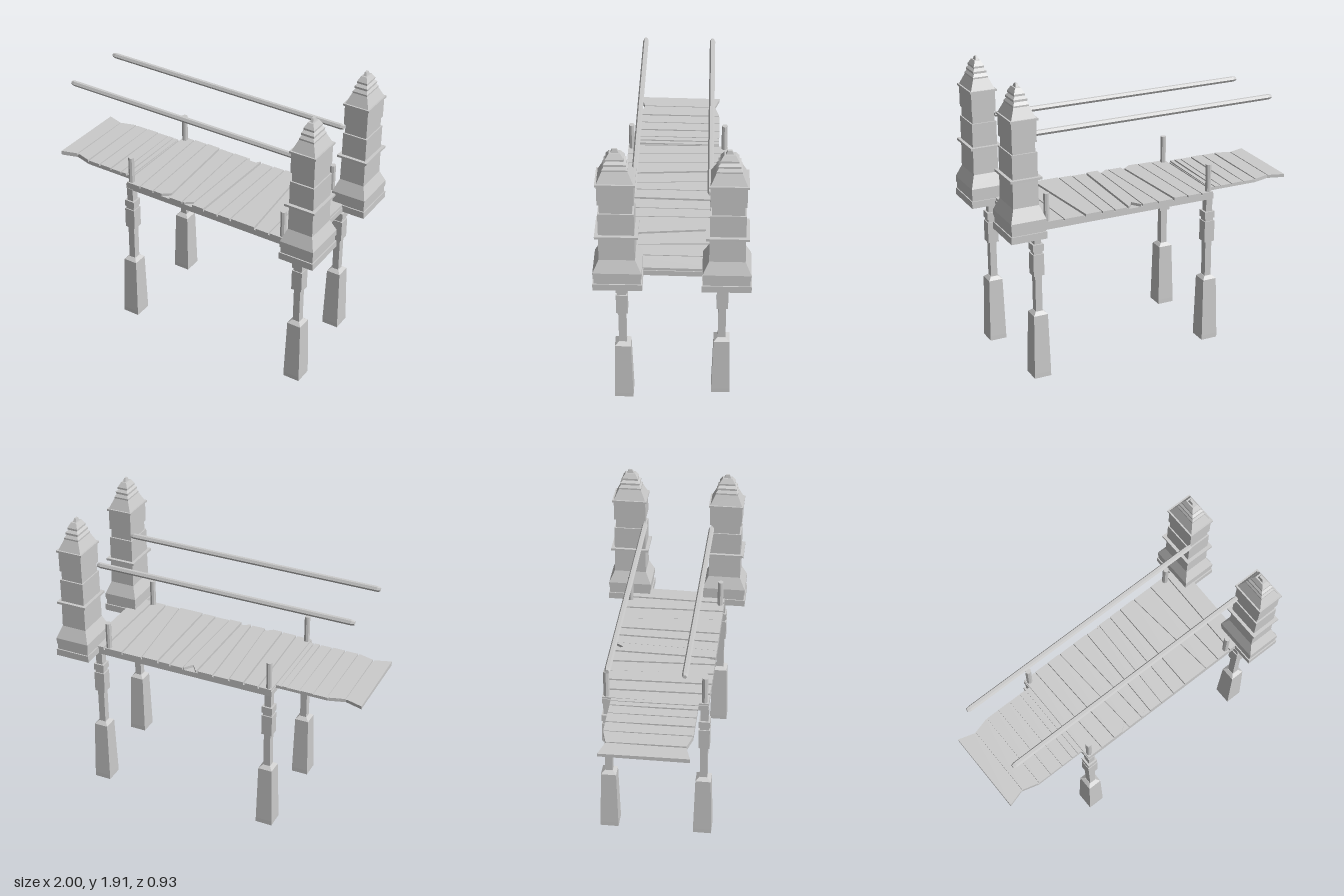
import * as THREE from 'three';

const material = new THREE.MeshStandardMaterial({ color: 0xcccccc, flatShading: true });

function add(parent, name, geometry, x = 0, y = 0, z = 0) {
  const mesh = new THREE.Mesh(geometry, material);
  mesh.name = name;
  mesh.position.set(x, y, z);
  parent.add(mesh);
  return mesh;
}

// Closed stack of rectangular sections: [y, half width in x, half width in z]
function rectLoft(sections) {
  const corners = [[1, 1], [1, -1], [-1, -1], [-1, 1]];
  const positions = [], index = [];
  for (const [y, hx, hz] of sections)
    for (const [cx, cz] of corners) positions.push(cx * hx, y, cz * hz);
  for (let i = 0; i < sections.length - 1; i++) {
    for (let j = 0; j < 4; j++) {
      const a = i * 4 + j, b = i * 4 + (j + 1) % 4;
      index.push(a, b, b + 4, a, b + 4, a + 4);
    }
  }
  const t = (sections.length - 1) * 4;
  index.push(0, 2, 1, 0, 3, 2, t, t + 1, t + 2, t, t + 2, t + 3);
  const g = new THREE.BufferGeometry();
  g.setAttribute('position', new THREE.Float32BufferAttribute(positions, 3));
  g.setIndex(index);
  const flat = g.toNonIndexed();
  flat.computeVertexNormals();
  return flat;
}

// Horizontal slab from an outline of [x, z] points
function slab(outline, y0, y1) {
  const shape = new THREE.Shape(outline.map(([x, z]) => new THREE.Vector2(x, -z)));
  const g = new THREE.ExtrudeGeometry(shape, { depth: y1 - y0, bevelEnabled: false });
  return g.rotateX(-Math.PI / 2).translate(0, y0, 0);
}

const towerSections = [
  [0.975, 0.115, 0.146], [1.02, 0.115, 0.146],
  [1.02, 0.108, 0.138], [1.06, 0.108, 0.138],
  [1.06, 0.112, 0.143], [1.10, 0.112, 0.143],
  [1.18, 0.082, 0.106], [1.345, 0.08, 0.104],
  [1.345, 0.1, 0.126], [1.36, 0.1, 0.126],
  [1.36, 0.08, 0.104], [1.51, 0.08, 0.104],
  [1.51, 0.072, 0.094], [1.572, 0.072, 0.094],
  [1.572, 0.078, 0.105], [1.705, 0.078, 0.105],
  [1.705, 0.087, 0.114], [1.718, 0.087, 0.114],
  [1.718, 0.077, 0.104], [1.785, 0.049, 0.073],
  [1.795, 0.049, 0.073], [1.815, 0.036, 0.058],
  [1.815, 0.043, 0.064], [1.828, 0.043, 0.064],
  [1.845, 0.028, 0.046], [1.845, 0.034, 0.052],
  [1.857, 0.034, 0.052], [1.888, 0.018, 0.032],
  [1.888, 0.01, 0.022], [1.91, 0.006, 0.012],
];

const legSections = [
  [0, 0.055, 0.059], [0.03, 0.055, 0.059], [0.42, 0.046, 0.049],
  [0.44, 0.025, 0.026], [0.44, 0.022, 0.024], [0.68, 0.022, 0.024],
  [0.68, 0.035, 0.035], [0.82, 0.035, 0.035],
  [0.82, 0.028, 0.028], [0.84, 0.028, 0.028],
  [0.84, 0.035, 0.035], [0.885, 0.035, 0.035],
  [0.885, 0.022, 0.024], [0.975, 0.022, 0.026],
];

function addTowers(model) {
  const geometry = rectLoft(towerSections);
  add(model, 'leftFrontTower', geometry, 0.885, 0, 0.32);
  add(model, 'leftBackTower', geometry, 0.885, 0, -0.32);
}

function addLegs(model) {
  const geometry = rectLoft(legSections);
  for (const [x, z] of [[-0.41, 0.307], [-0.41, -0.3], [0.83, 0.307], [0.775, -0.3]])
    add(model, 'supportLeg', geometry, x, 0, z);
}

function addPosts(model) {
  const geometry = new THREE.CylinderGeometry(0.019, 0.019, 0.2, 8);
  for (const x of [-0.41, 0.705])
    for (const z of [0.305, -0.305]) add(model, 'deckPost', geometry, x, 1.098, z);
}

// Hexagonal handrails with slightly narrowed ends
function addRails(model) {
  const profile = [[0, -0.86], [0.013, -0.86], [0.018, -0.84], [0.018, 0.84], [0.013, 0.86], [0, 0.86]]
    .map(([r, y]) => new THREE.Vector2(r, y));
  const geometry = new THREE.LatheGeometry(profile, 6).rotateZ(Math.PI / 2);
  add(model, 'frontHandrail', geometry, -0.05, 1.55, 0.228);
  add(model, 'backHandrail', geometry, -0.05, 1.55, -0.216);
}

function addMainDeck(model) {
  const deck = new THREE.Group();
  deck.name = 'mainDeck';
  model.add(deck);
  add(deck, 'deckBase', slab([[-0.438, -0.33], [0.855, -0.33], [0.845, 0.33], [-0.438, 0.33]], 0.97, 1.006));

  // Seams between planks: x at the back edge, x at the front edge
  const seams = [[-0.438, -0.438], [-0.35, -0.33], [-0.25, -0.23], [-0.15, -0.11], [-0.04, -0.01],
    [0.07, 0.06], [0.17, 0.15], [0.26, 0.25], [0.345, 0.345], [0.46, 0.52], [0.6, 0.62],
    [0.73, 0.72], [0.855, 0.845]];
  for (let i = 0; i < seams.length - 1; i++) {
    const [b0, f0] = seams[i], [b1, f1] = seams[i + 1];
    const gap = 0.005, a = b0 + gap, b = b1 - gap, c = f1 - gap, d = f0 + gap;
    const outline = [[a, -0.33]];
    // Chipped back edge on one plank, chipped front corners on others
    if (i === 5) outline.push([a + 0.005, -0.33], [(a + b) / 2, -0.275], [b - 0.005, -0.33]);
    outline.push([b, -0.33]);
    if (i === 2 || i === 4) outline.push([c, 0.29], [c - 0.05, 0.33]);
    else outline.push([c, 0.33]);
    outline.push([d, 0.33]);
    add(deck, 'deckPlank', slab(outline, 1.0, 1.018 + 0.003 * (i % 3)));
  }
}

function addEndDeck(model) {
  const deck = new THREE.Group();
  deck.name = 'endDeck';
  model.add(deck);
  // Half width, pinched near the worn far end
  const half = x => x < -0.89 ? 0.24 + (-0.89 - x) * 0.3
    : x < -0.78 ? 0.24 + (x + 0.89) * 0.28 : 0.271;
  const xs = [-1, -0.89, -0.78, -0.44];
  const outline = [...xs.map(x => [x, -half(x)]), ...xs.reverse().map(x => [x, half(x)])];
  add(deck, 'endDeckBase', slab(outline, 1.003, 1.02));

  const seams = [-1, -0.89, -0.78, -0.69, -0.6, -0.52, -0.475, -0.44];
  for (let i = 0; i < seams.length - 1; i++) {
    const a = seams[i] + (i ? 0.005 : 0), b = seams[i + 1] - 0.005;
    const plank = slab([[a, -half(a)], [b, -half(b)], [b, half(b)], [a, half(a)]], -0.012, 0.004);
    const mesh = add(deck, 'endDeckPlank', plank, 0, 1.023 + 0.002 * (i % 2), 0);
    mesh.rotation.x = -0.014;
  }
}

export function createModel() {
  const model = new THREE.Group();
  model.name = 'pier';
  addTowers(model);
  addLegs(model);
  addPosts(model);
  addRails(model);
  addMainDeck(model);
  addEndDeck(model);
  return model;
}
